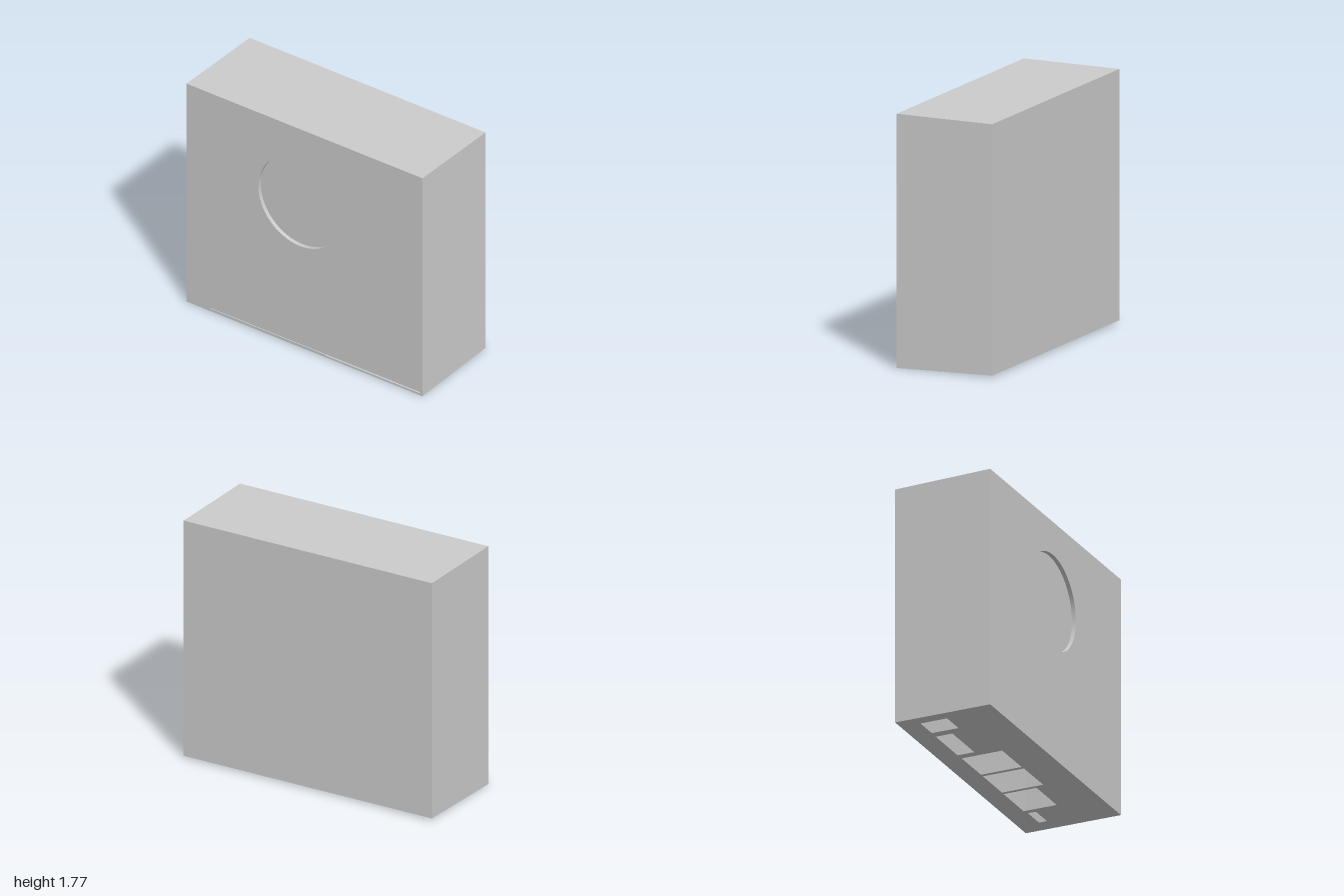
import * as THREE from 'three';

const W = 1, D = 0.3625;
const RECESS = { x: -0.04, y: 1.175, r: 0.352, depth: 0.03 };
// The floor and roof lean very slightly from front to back
const floorY = z => 0.007 - 0.019 * z;
const roofY = z => 1.772 + 0.008 * z;

const material = new THREE.MeshStandardMaterial({ color: 0xcccccc, side: THREE.DoubleSide });

const path = (pts, Type = THREE.Path) => new Type(pts.map(p => new THREE.Vector2(...p)));
const rect = (x0, y0, x1, y1) => [[x0, y0], [x1, y0], [x1, y1], [x0, y1]];

// Flat panel drawn as a 2D outline with holes, then placed by a rule
function panel(name, outline, holes, place) {
  const shape = path(outline, THREE.Shape);
  shape.holes.push(...holes);
  const geo = new THREE.ShapeGeometry(shape, 32);
  const pos = geo.attributes.position;
  for (let i = 0; i < pos.count; i++) pos.setXYZ(i, ...place(pos.getX(i), pos.getY(i)));
  geo.computeVertexNormals();
  const mesh = new THREE.Mesh(geo, material);
  mesh.name = name;
  return mesh;
}

export function createModel() {
  const group = new THREE.Group();
  group.name = 'hollowCase';

  // Front wall with the round recess opening and a thin slit along the foot
  const circle = new THREE.Path().absarc(RECESS.x, RECESS.y, RECESS.r, 0, Math.PI * 2, true);
  const slit = path([[-0.8, 0.026], [0.98, 0.026], [0.98, 0.016], [0.18, 0.016], [0.18, 0.021], [-0.8, 0.021]]);
  group.add(panel('frontWall', rect(-W, floorY(D), W, roofY(D)), [circle, slit], (a, b) => [a, b, D]));

  // Back wall, roof and the two side walls
  group.add(panel('backWall', rect(-W, floorY(-D), W, roofY(-D)), [], (a, b) => [-a, b, -D]));
  group.add(panel('roof', rect(-W, -D, W, D), [], (a, b) => [a, roofY(-b), -b]));
  for (const s of [1, -1]) {
    const side = [[-D, floorY(s * D)], [D, floorY(-s * D)], [D, roofY(-s * D)], [-D, roofY(s * D)]];
    group.add(panel(s > 0 ? 'leftWall' : 'rightWall', side, [], (a, b) => [s * W, b, -s * a]));
  }

  // Floor with six cut-outs: x range, then z range
  const cutouts = [
    [0.71, 0.88, -0.203, -0.141],
    [0.36, 0.67, -0.214, 0.038],
    [0.04, 0.334, -0.212, 0.102],
    [-0.284, 0.012, -0.212, 0.098],
    [-0.676, -0.34, -0.215, -0.087],
    [-0.914, -0.74, -0.212, -0.009],
  ].map(([x0, x1, z0, z1]) => path(rect(x0, z0, x1, z1)));
  group.add(panel('floor', rect(-W, -D, W, D), cutouts, (a, b) => [a, floorY(b), b]));

  // Shallow round recess: rim and back disc
  const rim = new THREE.Mesh(
    new THREE.CylinderGeometry(RECESS.r, RECESS.r, RECESS.depth, 64, 1, true), material);
  rim.rotation.x = Math.PI / 2;
  rim.position.set(RECESS.x, RECESS.y, D - RECESS.depth / 2);
  rim.name = 'recessRim';
  const disc = new THREE.Mesh(new THREE.CircleGeometry(RECESS.r, 64), material);
  disc.position.set(RECESS.x, RECESS.y, D - RECESS.depth);
  disc.name = 'recessDisc';
  group.add(rim, disc);

  return group;
}
